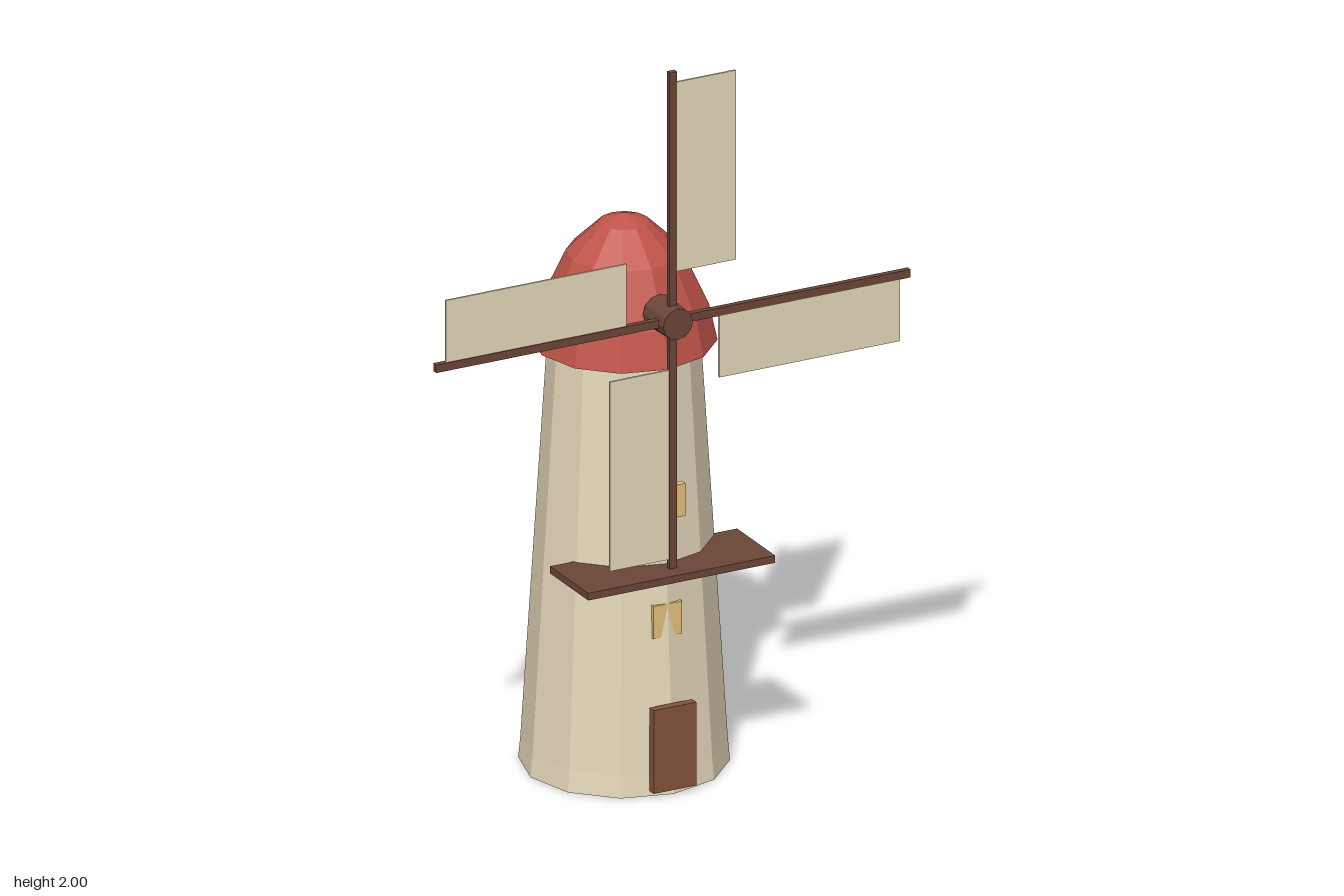
import * as THREE from 'three';

const SIDES = 12;
const AXIS_Z = -0.0215; // tower centre line
const HUB_Y = 1.31;
const SAIL_Z = 0.24;

const paint = (color, flatShading = true) => new THREE.MeshStandardMaterial({ color, flatShading });

const plaster = paint(0xe6d8ba);
const red = paint(0xc2544a);
const wood = paint(0x6b4737);
const doorWood = paint(0x84543c);
const glow = paint(0xe6c27a);

function add(parent, name, geometry, material, x = 0, y = 0, z = 0) {
  const mesh = new THREE.Mesh(geometry, material);
  mesh.name = name;
  mesh.position.set(x, y, z);
  parent.add(mesh);
  return mesh;
}

// Box given by its limits along each axis
function addBox(parent, name, material, [x0, x1], [y0, y1], [z0, z1]) {
  const geometry = new THREE.BoxGeometry(x1 - x0, y1 - y0, z1 - z0);
  return add(parent, name, geometry, material, (x0 + x1) / 2, (y0 + y1) / 2, (z0 + z1) / 2);
}

// Turned shape from [radius, height] pairs
function turned(profile, sides) {
  return new THREE.LatheGeometry(profile.map(([r, y]) => new THREE.Vector2(r, y)), sides);
}

export function createModel() {
  const model = new THREE.Group();
  model.name = 'windmill';

  // Tapered tower and overhanging domed cap
  add(model, 'tower', turned([[0, 0], [0.272, 0], [0.2665, 0.06], [0.1975, 1.17], [0, 1.17]], SIDES),
    plaster, 0, 0, AXIS_Z);
  add(model, 'cap', turned([[0, 1.165], [0.24, 1.165], [0.218, 1.265], [0.15, 1.41], [0.065, 1.492], [0, 1.514]], SIDES),
    red, 0, 0, AXIS_Z);

  // Gallery, door and windows on the front
  addBox(model, 'gallery', wood, [-0.272, 0.272], [0.604, 0.624], [0.085, 0.293]);
  addBox(model, 'door', doorWood, [-0.062, 0.062], [0.014, 0.245], [0.234, 0.257]);
  addBox(model, 'lowerWindow', glow, [-0.042, 0.042], [0.425, 0.515], [0.199, 0.217]);
  addBox(model, 'upperWindow', glow, [-0.042, 0.042], [0.758, 0.848], [0.217, 0.235]);

  // Sail wheel: hub with four identical arms
  const wheel = new THREE.Group();
  wheel.name = 'sailWheel';
  wheel.position.set(0, HUB_Y, SAIL_Z);
  model.add(wheel);

  const hub = add(wheel, 'hub', new THREE.CylinderGeometry(0.043, 0.047, 0.104, 12), wood, 0, 0, -0.019);
  hub.rotation.x = Math.PI / 2;

  for (let i = 0; i < 4; i++) {
    const arm = new THREE.Group();
    arm.name = 'arm';
    arm.rotation.z = -i * Math.PI / 2;
    wheel.add(arm);
    addBox(arm, 'spar', wood, [-0.011, 0.011], [0, 0.69], [-0.008, 0.008]);
    addBox(arm, 'sail', plaster, [0.008, 0.183], [0.135, 0.66], [-0.001, 0.005]);
  }
  return model;
}
